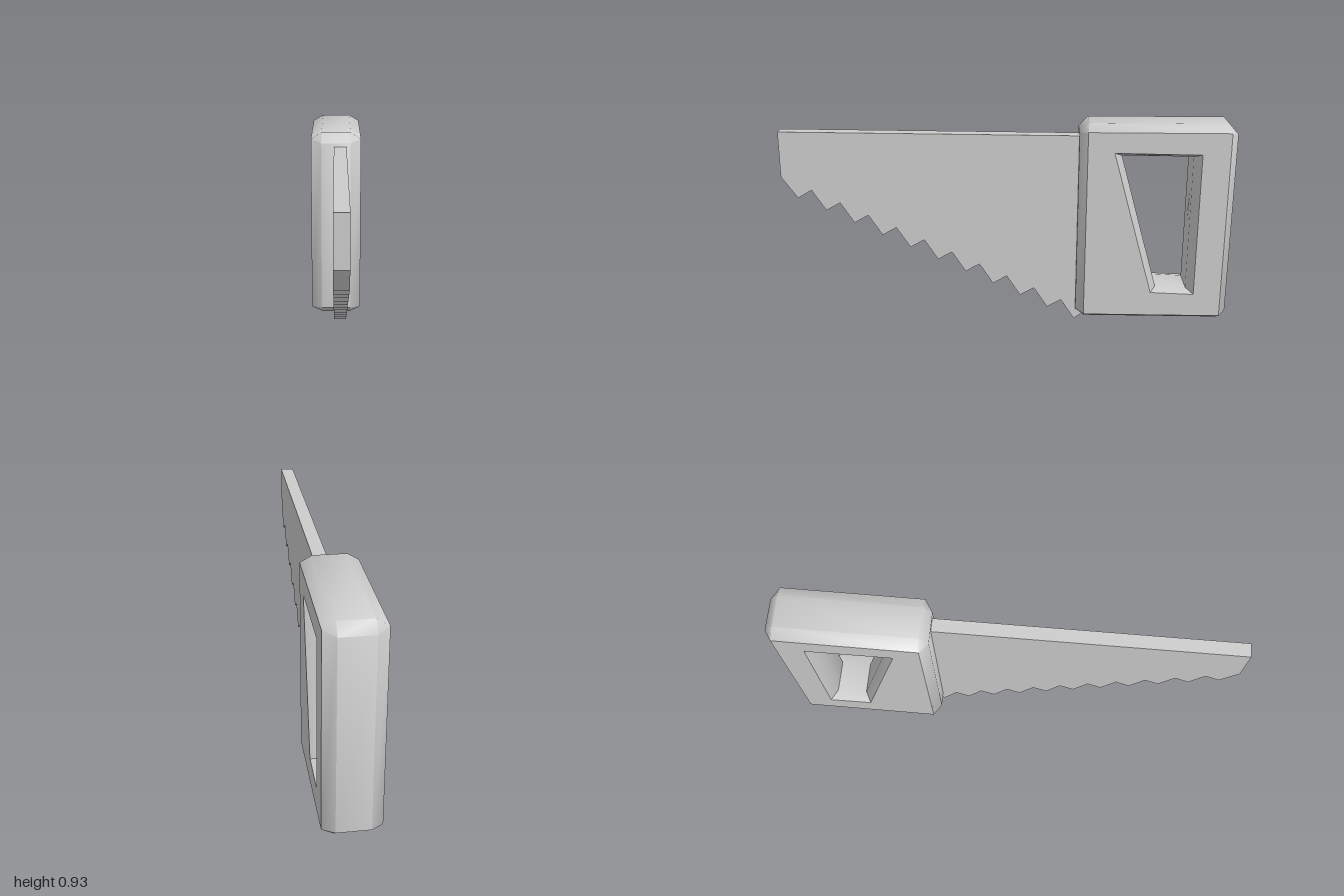
import * as THREE from 'three';
import { toCreasedNormals } from 'three/addons/utils/BufferGeometryUtils.js';

const grey = new THREE.MeshStandardMaterial({ color: 0xcccccc });
grey.name = 'plain grey';

// Joins closed rings of [x, y, z] points into a skin, the last ring back to the first.
function loftLoop(rings) {
  const positions = [];
  const p = new THREE.Vector3(), q = new THREE.Vector3(), r = new THREE.Vector3();
  const face = (a, b, c) => {
    p.set(...a); q.set(...b).sub(p); r.set(...c).sub(p);
    if (q.cross(r).length() > 1e-9) positions.push(...a, ...b, ...c);
  };
  rings.forEach((ring, i) => {
    const next = rings[(i + 1) % rings.length];
    ring.forEach((a, j) => {
      const k = (j + 1) % ring.length;
      face(a, ring[k], next[j]);
      face(ring[k], next[k], next[j]);
    });
  });
  const geometry = new THREE.BufferGeometry();
  geometry.setAttribute('position', new THREE.Float32BufferAttribute(positions, 3));
  return toCreasedNormals(geometry, THREE.MathUtils.degToRad(50));
}

// Box handle with bevelled rims around the outside and the grip opening.
function createHandle() {
  const side = 0.12, mid = 0.07;
  const twice = (corners) => corners.flatMap((c) => [c, c]);
  // Outlines as [z, y]
  const outerSide = twice([[-0.355, 0.9], [-0.965, 0.9], [-0.965, 0.055], [-0.355, 0.055]]);
  const outerMid = [
    [-0.32, 0.885], [-0.36, 0.93], [-0.96, 0.93], [-1, 0.885],
    [-1, 0.06], [-0.96, 0.028], [-0.36, 0.028], [-0.32, 0.06],
  ];
  const holeSide = twice([[-0.47, 0.81], [-0.845, 0.805], [-0.845, 0.158], [-0.652, 0.165]]);
  const holeMid = twice([[-0.505, 0.788], [-0.815, 0.785], [-0.815, 0.172], [-0.678, 0.178]]);
  const ring = (outline, x) => outline.map(([z, y]) => [x, y, z]);
  return loftLoop([
    ring(outerSide, side), ring(outerMid, mid), ring(outerMid, -mid), ring(outerSide, -side),
    ring(holeSide, -side), ring(holeMid, -mid), ring(holeMid, mid), ring(holeSide, side),
  ]);
}

// Flat tapering plate with eleven teeth along the lower edge.
function createBlade() {
  const teeth = 11;
  const shape = new THREE.Shape();
  shape.moveTo(-0.36, 0.868);
  shape.lineTo(1, 0.875);
  shape.lineTo(1, 0.67);
  for (let i = 0; i < teeth; i++) {
    const z = 0.93 - 0.1245 * i;
    const y = 0.573 - 0.0573 * i;
    shape.lineTo(z, y);
    shape.lineTo(i < teeth - 1 ? z - 0.063 : -0.36, y + 0.036);
  }
  shape.closePath();
  const geometry = new THREE.ExtrudeGeometry(shape, { depth: 0.06, bevelEnabled: false });
  geometry.rotateY(-Math.PI / 2);
  geometry.translate(0.05, 0, 0);
  return geometry;
}

export function createModel() {
  const model = new THREE.Group();
  model.name = 'handSaw';
  const parts = { handle: createHandle(), blade: createBlade() };
  for (const [name, geometry] of Object.entries(parts)) {
    const mesh = new THREE.Mesh(geometry, grey);
    mesh.name = name;
    model.add(mesh);
  }
  return model;
}
